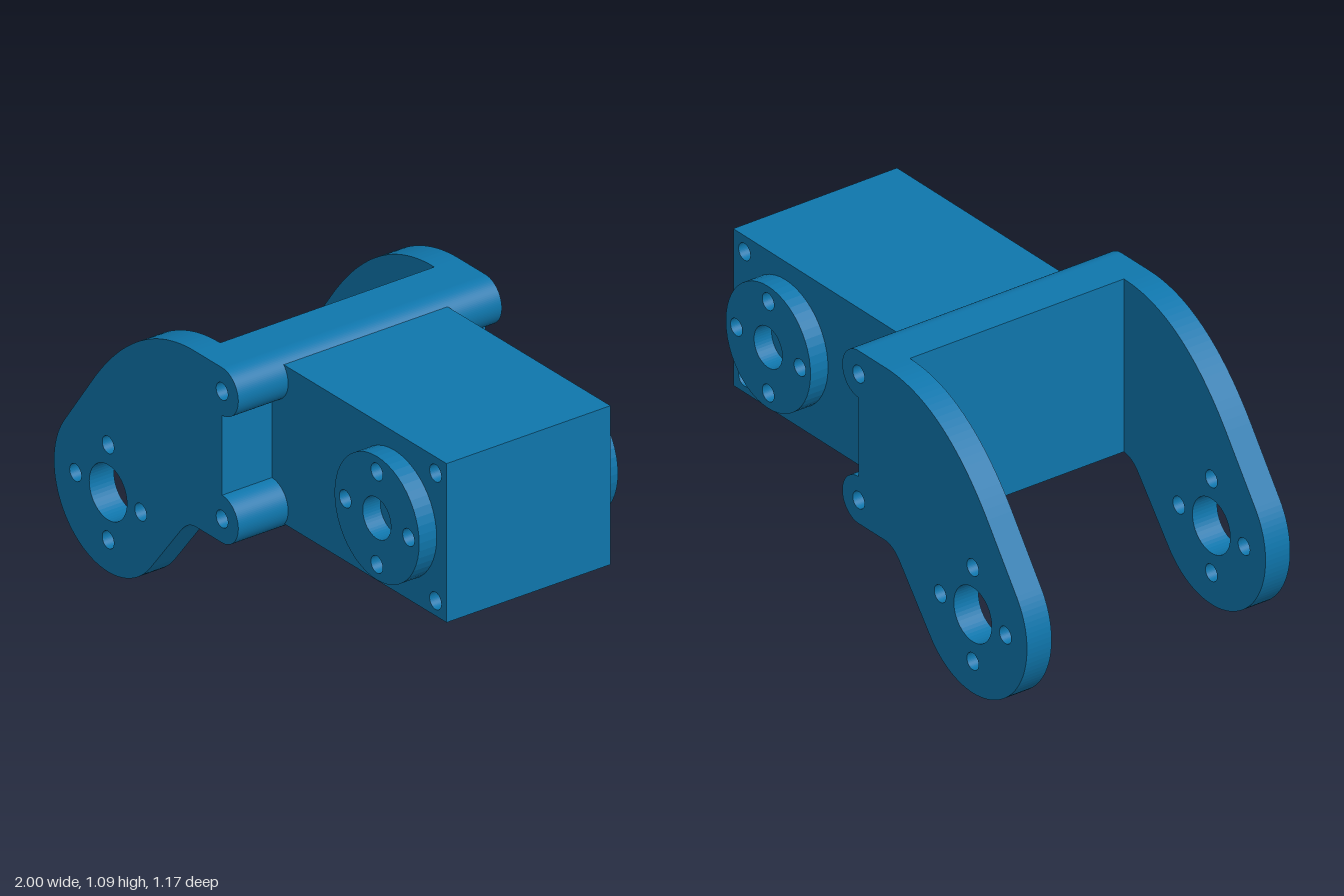
import * as THREE from 'three';

const material = new THREE.MeshStandardMaterial({ color: 0x0f76ac, flatShading: true });
const PIN = 0.034;                 // small bolt hole radius
const PIN_X = -0.02, TOP = 1.0, LOW = 0.49, KNUCKLE = 0.095;
const HALF = 0.587, INNER = 0.477; // outer and inner faces of the fork plates

function hole(shape, x, y, r) {
  shape.holes.push(new THREE.Path().absarc(x, y, r, 0, Math.PI * 2, true));
}

// One centre hole with four bolt holes around it
function holePattern(shape, x, y, centre, ring) {
  hole(shape, x, y, centre);
  for (let i = 0; i < 4; i++) {
    const a = i * Math.PI / 2;
    hole(shape, x + ring * Math.cos(a), y + ring * Math.sin(a), PIN);
  }
}

function slab(name, shape, z0, z1) {
  const geometry = new THREE.ExtrudeGeometry(shape, { depth: z1 - z0, bevelEnabled: false, curveSegments: 24 });
  geometry.translate(0, 0, z0);
  const mesh = new THREE.Mesh(geometry, material);
  mesh.name = name;
  return mesh;
}

// Hinge edge shared by the plates and the web: two knuckles and the flat between
function hingeEdge(shape) {
  const q = Math.PI / 2;
  shape.lineTo(PIN_X, LOW - KNUCKLE);
  shape.absarc(PIN_X, LOW, KNUCKLE, -q, q, false);
  shape.lineTo(PIN_X, TOP - KNUCKLE);
  shape.absarc(PIN_X, TOP, KNUCKLE, -q, q, false);
  hole(shape, PIN_X, LOW, PIN);
  hole(shape, PIN_X, TOP, PIN);
}

function armShape() {
  const s = new THREE.Shape();
  s.moveTo(-0.26, 0.345);
  s.quadraticCurveTo(-0.22, 0.395, -0.17, LOW - KNUCKLE);
  hingeEdge(s);
  s.lineTo(-0.18, TOP + KNUCKLE);
  s.quadraticCurveTo(-0.51, TOP + KNUCKLE, -0.77, 0.74);
  s.absarc(-0.685, 0.318, 0.316, 2.51, 2 * Math.PI - 0.675, false);
  s.closePath();
  holePattern(s, -0.685, 0.32, 0.11, 0.19);
  return s;
}

function webShape() {
  const s = new THREE.Shape();
  s.moveTo(-0.175, LOW - KNUCKLE);
  hingeEdge(s);
  s.lineTo(-0.175, TOP + KNUCKLE);
  s.closePath();
  return s;
}

// Motor body side, notched where the hinge holes pass
function bodyShape() {
  const s = new THREE.Shape(), q = Math.PI / 2, r = PIN + 0.002;
  s.moveTo(PIN_X, 0.43);
  s.lineTo(1, 0.43);
  s.lineTo(1, 1.065);
  s.lineTo(PIN_X, 1.065);
  for (const y of [TOP, LOW]) {
    s.lineTo(PIN_X, y + r);
    s.absarc(PIN_X, y, r, q, -q, true);
  }
  s.closePath();
  hole(s, 0.935, TOP, PIN);
  hole(s, 0.935, LOW, PIN);
  return s;
}

function hornShape() {
  const s = new THREE.Shape();
  s.absarc(0.695, 0.745, 0.247, 0, Math.PI * 2, false);
  holePattern(s, 0.695, 0.745, 0.082, 0.185);
  return s;
}

export function createModel() {
  const model = new THREE.Group();
  model.name = 'jointBracket';

  const fork = new THREE.Group();
  fork.name = 'fork';
  fork.add(
    slab('frontArm', armShape(), INNER, HALF),
    slab('backArm', armShape(), -HALF, -INNER),
    slab('hingeWeb', webShape(), -INNER, INNER)
  );

  const motor = new THREE.Group();
  motor.name = 'motor';
  motor.add(
    slab('motorBody', bodyShape(), -0.365, 0.365),
    slab('frontHorn', hornShape(), 0.365, 0.443),
    slab('backHorn', hornShape(), -0.443, -0.365)
  );

  model.add(fork, motor);
  return model;
}
